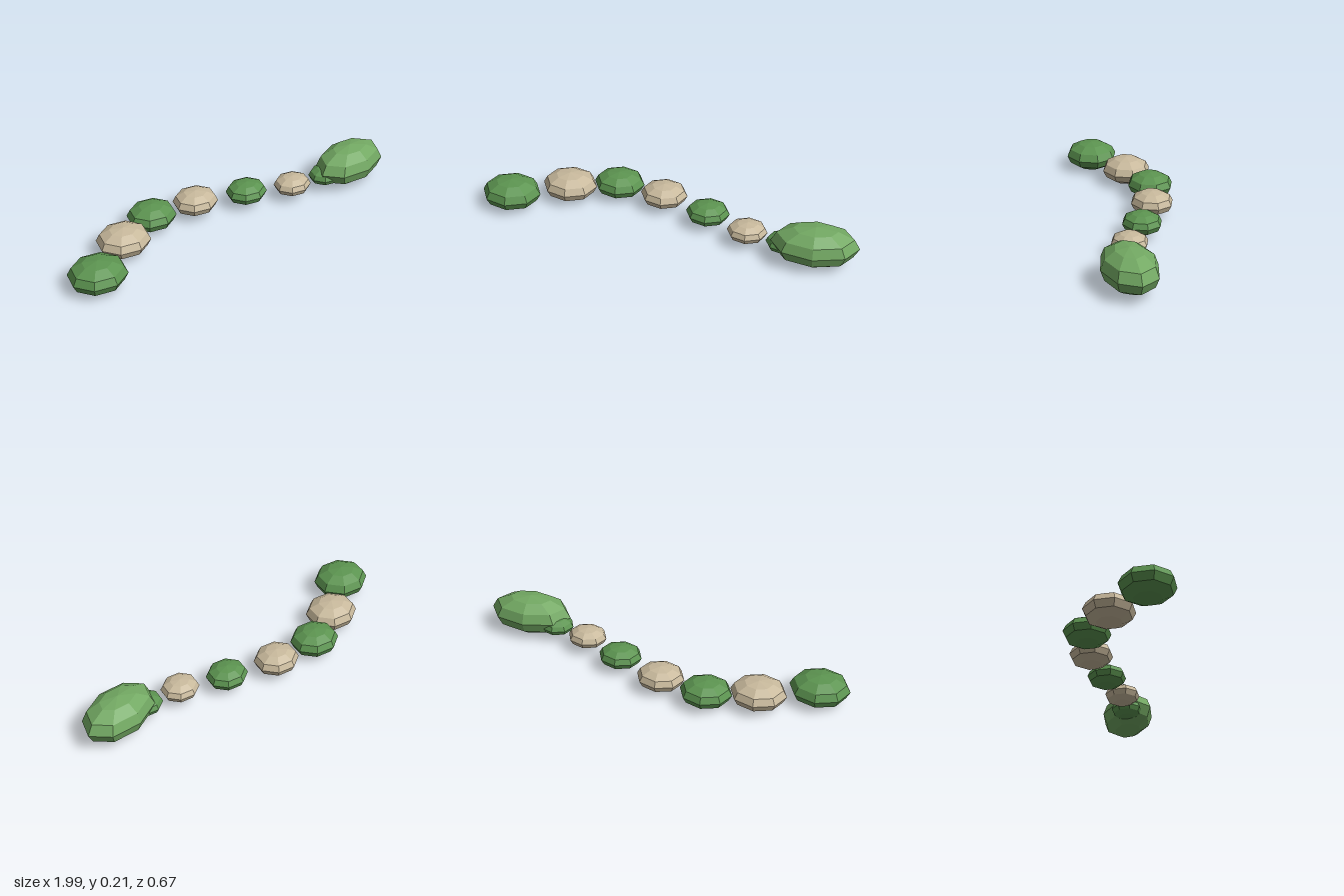
import * as THREE from 'three';

const paint = (color) => new THREE.MeshStandardMaterial({ color, flatShading: true });

// Faceted ellipsoid with its poles up and down
function bead(name, material, [x, y, z], [rx, ry, rz]) {
  const mesh = new THREE.Mesh(new THREE.SphereGeometry(1, 8, 6), material);
  mesh.name = name;
  mesh.position.set(x, y, z);
  mesh.scale.set(rx, ry, rz);
  return mesh;
}

export function createModel() {
  const group = new THREE.Group();
  group.name = 'segmentedCrawler';
  const green = paint(0x5c9450);
  const cream = paint(0xc8b99c);
  const headGreen = paint(0x72a862);

  // Body segments along a winding path (x, z), shrinking towards the head
  const path = [
    [-0.845, -0.023], [-0.56, -0.15], [-0.306, -0.214], [-0.053, -0.15],
    [0.2, -0.024], [0.422, 0.102], [0.617, 0.164],
  ];
  path.forEach(([x, z], i) => {
    const ry = 0.077 - 0.0051 * i;
    group.add(bead(`bodySegment${i + 1}`, i % 2 ? cream : green,
      [x, 0.08, z], [ry * 2.01, ry, ry * 1.82]));
  });

  // Larger, elongated head
  group.add(bead('head', headGreen, [0.773, 0.111, 0.2], [0.222, 0.104, 0.139]));

  return group;
}
